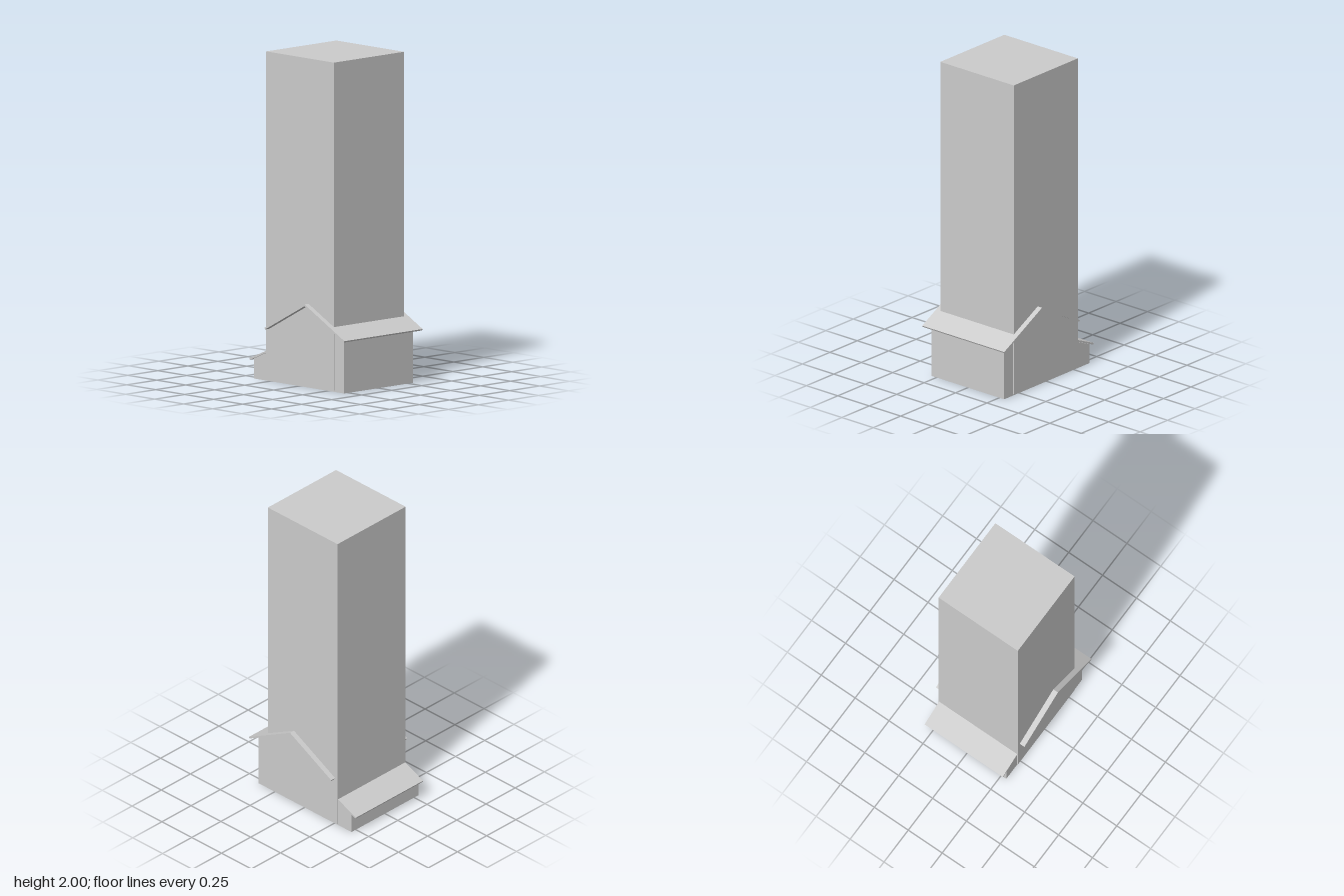
import * as THREE from 'three';

const material = new THREE.MeshStandardMaterial({ color: 0xcccccc, flatShading: true });

// Extrudes a side profile of [z, y] points across x, centred on x = 0
function slab(name, points, width) {
  const shape = new THREE.Shape(points.map(([z, y]) => new THREE.Vector2(z, y)));
  const geometry = new THREE.ExtrudeGeometry(shape, { depth: width, bevelEnabled: false });
  geometry.translate(0, 0, -width / 2).rotateY(-Math.PI / 2);
  const mesh = new THREE.Mesh(geometry, material);
  mesh.name = name;
  return mesh;
}

export function createModel() {
  const model = new THREE.Group();
  model.name = 'towerHouse';

  // Tall square tower rising through the house
  const tower = new THREE.Mesh(new THREE.BoxGeometry(0.584, 1.992, 0.584), material);
  tower.name = 'tower';
  tower.position.set(0, 1.004, 0.012);
  model.add(tower);

  // Gabled house body
  model.add(slab('houseBody', [
    [0.387, 0], [0.387, 0.338], [0.085, 0.499], [-0.217, 0.338], [-0.217, 0],
  ], 0.576));

  // Thin gable roof with overhanging eaves
  model.add(slab('gableRoof', [
    [0.425, 0.318], [0.43, 0.327], [0.085, 0.51], [-0.26, 0.327], [-0.255, 0.318], [0.085, 0.499],
  ], 0.652));

  // Low lean-to at the back with its sloping roof
  model.add(slab('leanToBody', [
    [-0.21, 0], [-0.21, 0.2], [-0.392, 0.122], [-0.392, 0],
  ], 0.574));
  model.add(slab('leanToRoof', [
    [-0.21, 0.213], [-0.43, 0.119], [-0.426, 0.109], [-0.21, 0.201],
  ], 0.576));

  return model;
}
